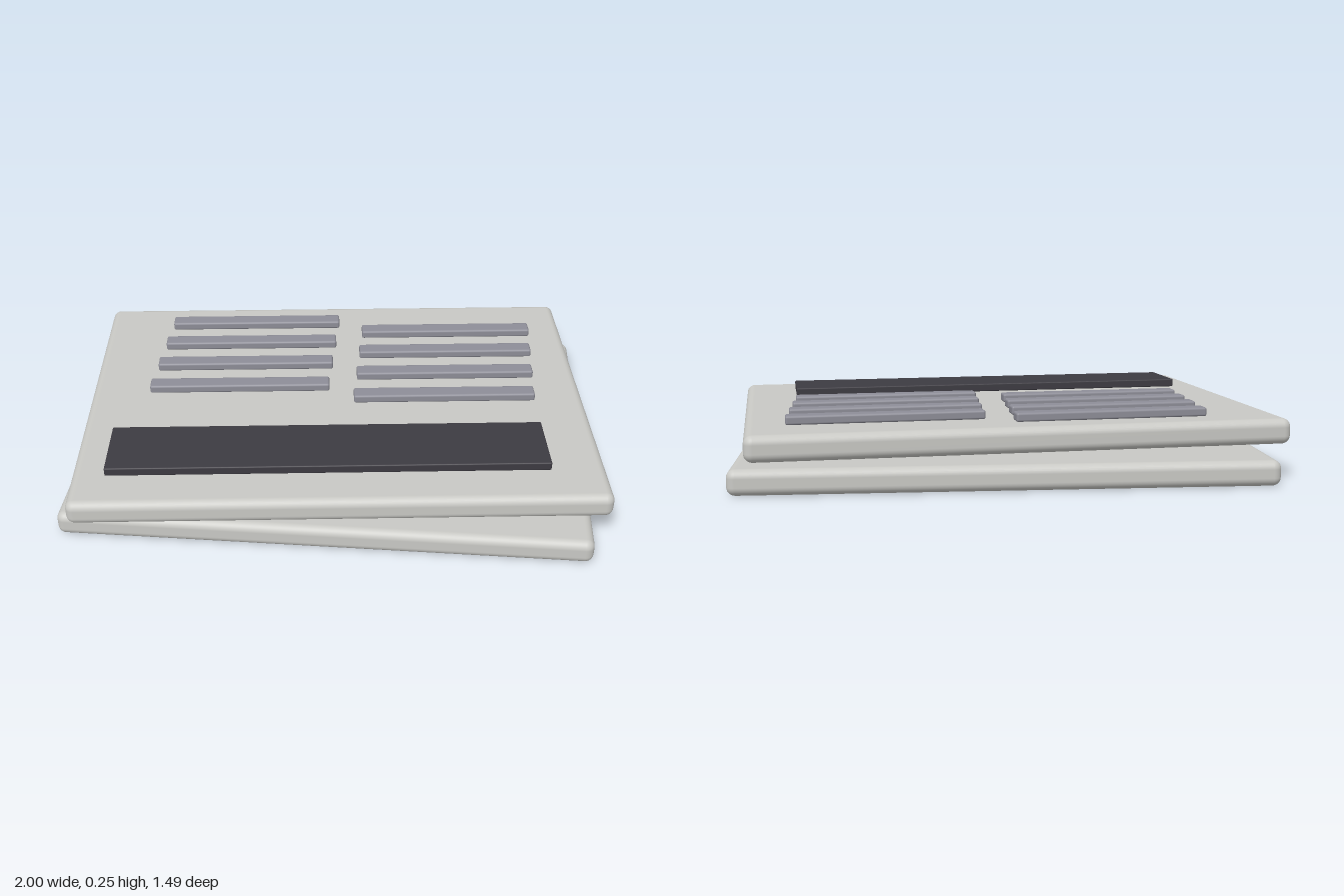
import * as THREE from 'three';
import { RoundedBoxGeometry } from 'three/addons/geometries/RoundedBoxGeometry.js';

const TILT = THREE.MathUtils.degToRad(6);

export function createModel() {
  const model = new THREE.Group();
  const paper = new THREE.MeshStandardMaterial({ color: 0xc9c9c5 });
  paper.name = 'pale grey';
  const ink = new THREE.MeshStandardMaterial({ color: 0x8e8e98 });
  ink.name = 'mid grey';
  const dark = new THREE.MeshStandardMaterial({ color: 0x3d3b42 });
  dark.name = 'charcoal';

  // Rounded block centred at x, z with its underside at y
  function block(name, material, [w, h, d], radius, [x, y, z], turn) {
    const mesh = new THREE.Mesh(new RoundedBoxGeometry(w, h, d, 4, radius), material);
    mesh.name = name;
    mesh.position.set(x, y + h / 2, z);
    mesh.rotation.y = turn;
    model.add(mesh);
  }

  // Two stacked slabs, the upper one turned slightly
  const slab = [1.876, 0.09, 1.312];
  block('lowerSlab', paper, slab, 0.03, [0, 0, 0], 0);
  block('upperSlab', paper, slab, 0.03, [0, 0.128, 0], TILT);

  // Wide dark band near the front edge
  block('darkBand', dark, [1.562, 0.032, 0.248], 0.005, [0, 0.217, 0.375], TILT);

  // Two columns of four raised lines
  for (const x of [-0.374, 0.409]) {
    for (let row = 0; row < 4; row++) {
      block('textLine', ink, [0.687, 0.032, 0.061], 0.008, [x, 0.217, -0.47 + row * 0.156], TILT);
    }
  }
  return model;
}
